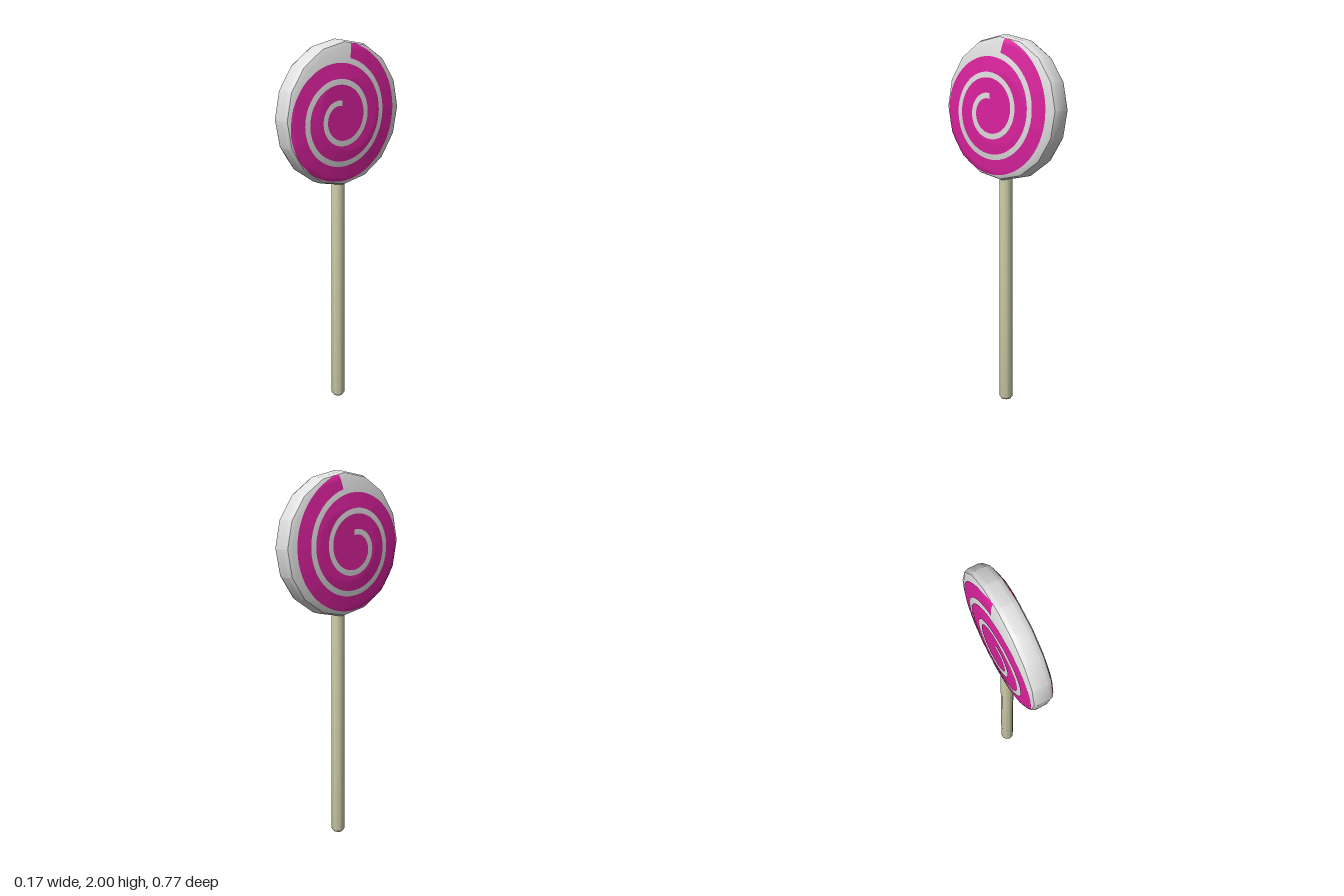
import * as THREE from 'three';
import { toCreasedNormals } from 'three/addons/utils/BufferGeometryUtils.js';

const SIDES = 16, CENTRE_Y = 1.613;
// Candy half profile: [radius, distance from the middle plane], centre to rim
const PROFILE = [[0, 0.083], [0.195, 0.083], [0.355, 0.062], [0.378, 0.052], [0.387, 0.03]];

// Radius of the 16-sided ring that passes through a point of the candy face
function ringRadius(z, y) {
  const step = (Math.PI * 2) / SIDES;
  const a = Math.atan2(y, z);
  const local = a - (Math.floor(a / step) + 0.5) * step;
  return (Math.hypot(z, y) * Math.cos(local)) / Math.cos(step / 2);
}

// Height of the candy face at a ring radius
function faceHeight(r) {
  for (let i = 1; i < PROFILE.length; i++) {
    const [r0, h0] = PROFILE[i - 1], [r1, h1] = PROFILE[i];
    if (r <= r1) return h0 + ((h1 - h0) * (r - r0)) / (r1 - r0);
  }
  return PROFILE[PROFILE.length - 1][1];
}

// Thin spiral band lying on one candy face; side is +1 or -1
function spiralGeometry(side) {
  const TURN = Math.PI * 2, ROWS = 8, STEPS = 260;
  const cz = 0.045, cy = -0.013, halfGap = 0.015, rim = 0.38;
  const gapStart = -Math.PI / 2 - 0.1;
  const start = gapStart - TURN, end = 3.5 * Math.PI - 0.22;
  const gapRadius = (a) => 0.107 + (0.112 * a) / TURN;
  const positions = [], index = [];
  for (let i = 0; i <= STEPS; i++) {
    const a = start + ((end - start) * i) / STEPS;
    const dz = Math.cos(a), dy = -Math.sin(a);
    const inner = a < gapStart ? 0 : gapRadius(a) + halfGap;
    let outer = gapRadius(a + TURN) - halfGap;
    // Stop the band at the candy's rim
    while (outer > inner && ringRadius(cz + dz * outer, cy + dy * outer) > rim) outer -= 0.001;
    for (let j = 0; j <= ROWS; j++) {
      const r = inner + ((outer - inner) * j) / ROWS;
      const z = cz + dz * r, y = cy + dy * r;
      positions.push(side * (faceHeight(ringRadius(z, y)) + 0.003), y, z);
      if (i < STEPS && j < ROWS) {
        const p = i * (ROWS + 1) + j, q = p + ROWS + 1;
        if (side > 0) index.push(p, q, p + 1, p + 1, q, q + 1);
        else index.push(p, p + 1, q, p + 1, q + 1, q);
      }
    }
  }
  const geometry = new THREE.BufferGeometry();
  geometry.setAttribute('position', new THREE.Float32BufferAttribute(positions, 3));
  geometry.setIndex(index);
  geometry.computeVertexNormals();
  return geometry;
}

export function createModel() {
  const white = new THREE.MeshStandardMaterial({ color: 0xe0e0e0 });
  white.name = 'candy white';
  const pink = new THREE.MeshStandardMaterial({ color: 0xdc229e, side: THREE.DoubleSide });
  pink.name = 'swirl magenta';
  const cream = new THREE.MeshStandardMaterial({ color: 0xd4d3ad });
  cream.name = 'stick cream';

  const model = new THREE.Group();
  model.name = 'lollipop';
  const add = (name, geometry, material, y = 0) => {
    const mesh = new THREE.Mesh(geometry, material);
    mesh.name = name;
    mesh.position.y = y;
    model.add(mesh);
  };

  // Faceted candy disc, its axis along x
  const half = PROFILE.map(([r, h]) => new THREE.Vector2(r, h));
  const outline = [...half.map((p) => new THREE.Vector2(p.x, -p.y)), ...half.slice().reverse()];
  const disc = new THREE.LatheGeometry(outline, SIDES).rotateZ(-Math.PI / 2);
  add('candyDisc', toCreasedNormals(disc, 0.5), white, CENTRE_Y);

  // Spiral on both faces
  add('leftSwirl', spiralGeometry(1), pink, CENTRE_Y);
  add('rightSwirl', spiralGeometry(-1), pink, CENTRE_Y);

  // Stick with a bevelled foot
  const stickOutline = [[0, 0], [0.026, 0], [0.036, 0.014], [0.036, 1.3], [0, 1.3]]
    .map(([r, y]) => new THREE.Vector2(r, y));
  add('stick', toCreasedNormals(new THREE.LatheGeometry(stickOutline, 10), 0.7), cream);

  return model;
}
